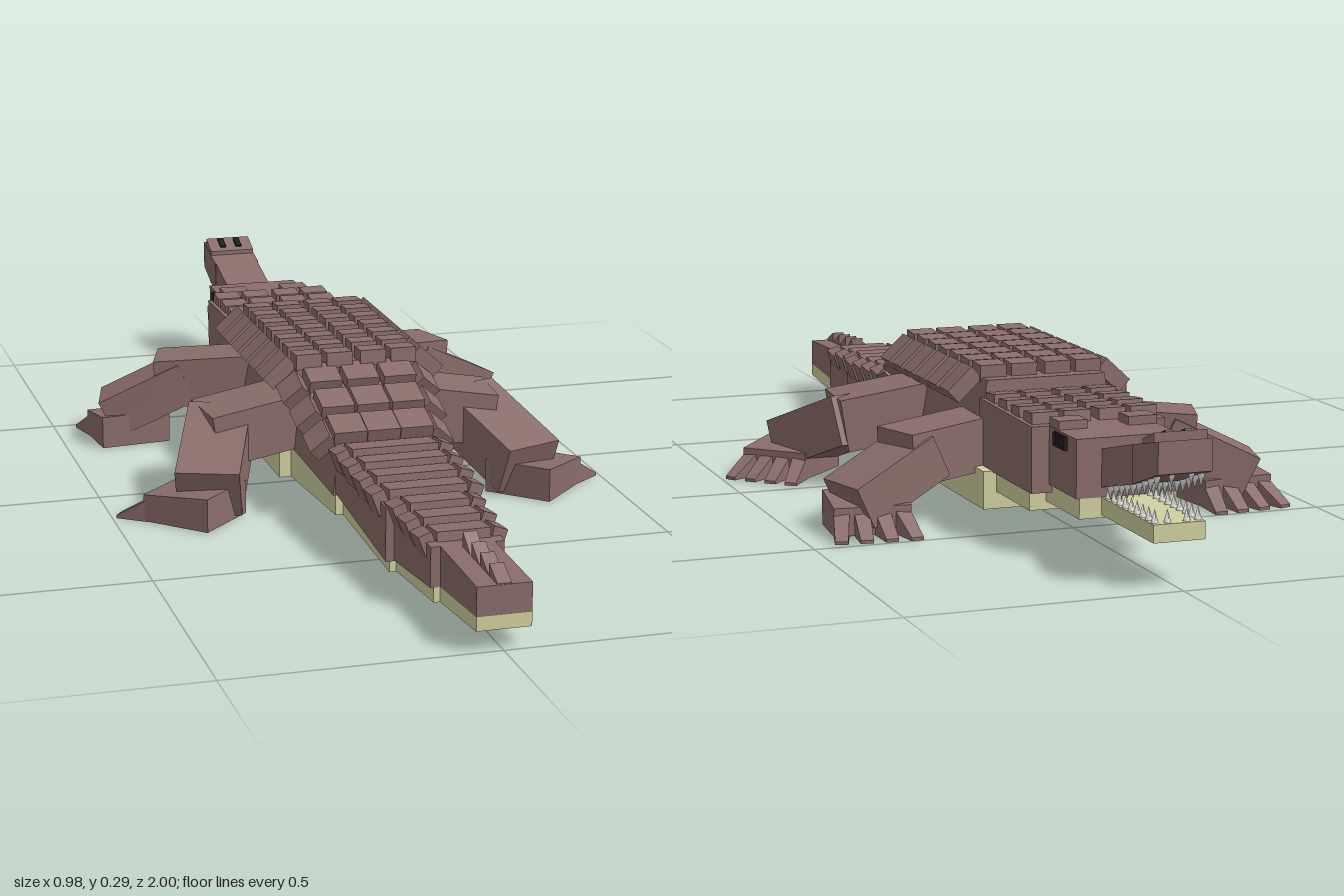
import * as THREE from 'three';

const paint = (name, color) => {
  const m = new THREE.MeshStandardMaterial({ color });
  m.name = name;
  return m;
};

export function createModel() {
  const root = new THREE.Group();
  root.name = 'reptile';
  const hide = paint('hide brown', 0x8a6d6a);
  const cream = paint('belly cream', 0xd2d1a0);
  const black = paint('black', 0x1c1a1a);
  const ivory = paint('tooth ivory', 0xdcdcd8);

  const add = (name, geo, mat, parent = root) => {
    const m = new THREE.Mesh(geo, mat);
    m.name = name;
    parent.add(m);
    return m;
  };
  // Tapered block along z; each end is [halfWidth, bottom, top, topHalfWidth]
  const block = (z0, z1, a, b) => {
    const g = new THREE.BoxGeometry(2, 2, 2);
    const p = g.attributes.position;
    for (let i = 0; i < p.count; i++) {
      const far = p.getZ(i) > 0, up = p.getY(i) > 0, e = far ? b : a;
      p.setXYZ(i, p.getX(i) * (up ? e[3] ?? e[0] : e[0]), e[up ? 2 : 1], far ? z1 : z0);
    }
    g.computeVertexNormals();
    return g;
  };
  const box = (name, w, h, d, x, y, z, rx = 0, rz = 0, mat = hide) => {
    const m = add(name, new THREE.BoxGeometry(w, h, d), mat);
    m.position.set(x, y, z);
    m.rotation.set(rx, 0, rz);
    return m;
  };
  // Box whose length runs from one point to another
  const limb = (name, a, b, w, h) => {
    const A = new THREE.Vector3(...a), B = new THREE.Vector3(...b);
    const m = new THREE.Mesh(new THREE.BoxGeometry(w, h, A.distanceTo(B)), hide);
    m.name = name;
    m.position.copy(A).lerp(B, 0.5);
    m.lookAt(B);
    root.add(m);
  };

  // Main hide, head end first
  [
    ['head', -0.75, -0.6, [0.096, 0.115, 0.222], [0.096, 0.115, 0.222]],
    ['neck', -0.62, -0.35, [0.13, 0.1, 0.222], [0.13, 0.1, 0.228]],
    ['body', -0.36, 0.09, [0.145, 0.1, 0.262, 0.118], [0.145, 0.1, 0.262, 0.118]],
    ['hips', 0.05, 0.3, [0.13, 0.1, 0.25, 0.115], [0.105, 0.065, 0.155, 0.095]],
    ['tailBase', 0.29, 0.6, [0.1, 0.07, 0.155], [0.09, 0.032, 0.135]],
    ['tailMiddle', 0.58, 0.8, [0.075, 0.032, 0.135], [0.068, 0.05, 0.125]],
    ['tailTip', 0.8, 1, [0.05, 0.05, 0.125], [0.05, 0.066, 0.12]],
    ['snout', -0.89, -0.74, [0.048, 0.167, 0.237], [0.048, 0.13, 0.2]],
    ['snoutTip', -1, -0.89, [0.05, 0.205, 0.262], [0.05, 0.167, 0.237]],
  ].forEach(([n, z0, z1, a, b]) => add(n, block(z0, z1, a, b), hide));
  add('noseRidge', block(-0.98, -0.93, [0.049, 0.22, 0.274], [0.049, 0.21, 0.255]), hide);

  // Underside
  [
    ['lowerJaw', -0.98, -0.74, [0.048, 0.083, 0.115], [0.048, 0.083, 0.115]],
    ['throat', -0.75, -0.58, [0.09, 0.078, 0.116], [0.09, 0.078, 0.116]],
    ['chest', -0.59, -0.35, [0.122, 0.062, 0.105], [0.122, 0.062, 0.105]],
    ['belly', -0.42, 0.06, [0.148, 0.03, 0.102], [0.148, 0.03, 0.102]],
    ['hipUnderside', 0.05, 0.3, [0.125, 0.03, 0.102], [0.1, 0.025, 0.07]],
    ['tailBaseUnderside', 0.29, 0.59, [0.085, 0.025, 0.07], [0.08, 0.008, 0.034]],
    ['tailMiddleUnderside', 0.58, 0.8, [0.067, 0.008, 0.034], [0.062, 0.022, 0.052]],
    ['tailTipUnderside', 0.8, 1, [0.05, 0.022, 0.052], [0.05, 0.04, 0.067]],
  ].forEach(([n, z0, z1, a, b]) => add(n, block(z0, z1, a, b), cream));

  // Back scales in four columns
  const columns = [-0.096, -0.034, 0.034, 0.096];
  for (let r = 0; r < 7; r++) {
    for (const x of columns) box('backScale', 0.052, 0.03, 0.046, x, 0.272, -0.31 + r * 0.064, -0.06);
  }
  for (let r = 0; r < 4; r++) {
    for (const x of columns) box('neckScale', 0.052, 0.026, 0.043, x, 0.229, -0.58 + r * 0.064, 0.08);
  }
  for (const x of [-0.067, 0.067]) box('browScale', 0.055, 0.026, 0.046, x, 0.225, -0.64);

  // Sloping hip scales, then broad tail bands
  for (let r = 0; r < 3; r++) {
    for (const x of [-0.075, 0, 0.075]) {
      box('hipScale', 0.065, 0.024, 0.066, x - x * r * 0.06, 0.245 - r * 0.031, 0.112 + r * 0.072, 0.3);
    }
  }
  for (let r = 0; r < 7; r++) {
    const z = 0.335 + r * 0.069, w = r < 4 ? 0.084 - r * 0.003 : 0.056 - (r - 4) * 0.003;
    const y = 0.158 - r * 0.005;
    box('tailBand', w * 2, 0.026, 0.06, 0, y, z, -0.1);
    for (const s of [1, -1]) {
      box('tailSideScale', 0.026, 0.045, 0.055, s * (w + 0.013), y - 0.012, z, -0.1, -s * 0.35);
    }
  }

  // Crest spikes on the tail tip
  for (let i = 0; i < 4; i++) {
    add('tailSpike', block(0.81 + i * 0.048, 0.855 + i * 0.048,
      [0.013, 0.115, 0.152 - i * 0.003], [0.013, 0.115, 0.122]), hide);
  }

  for (const s of [1, -1]) {
    const side = s > 0 ? 'left' : 'right';
    // Angled scales along both flanks
    for (let i = 0; i < 6; i++) {
      box(side + 'FlankScale', 0.065, 0.032, 0.054, s * 0.15, 0.25, -0.3 + i * 0.07, 0, -s * 0.75);
    }
    for (let i = 0; i < 3; i++) {
      box(side + 'HipFlankScale', 0.05, 0.028, 0.06, s * (0.132 - i * 0.008), 0.222 - i * 0.03,
        0.11 + i * 0.07, 0.3, -s * 0.75);
    }

    // Eye and nostril plates
    box(side + 'Eye', 0.009, 0.025, 0.055, s * 0.098, 0.206, -0.68, 0, 0, black);
    box(side + 'Nostril', 0.013, 0.006, 0.03, s * 0.018, 0.267, -0.957, 0.38, 0, black);

    // Limbs
    limb(side + 'Shoulder', [s * 0.1, 0.145, -0.3], [s * 0.3, 0.13, -0.365], 0.11, 0.1);
    limb(side + 'Forearm', [s * 0.24, 0.135, -0.35], [s * 0.4, 0.055, -0.39], 0.12, 0.085);
    limb(side + 'Thigh', [s * 0.1, 0.155, 0.02], [s * 0.29, 0.125, 0.035], 0.14, 0.105);
    limb(side + 'Shin', [s * 0.25, 0.135, 0.0], [s * 0.325, 0.055, 0.2], 0.125, 0.1);

    // Feet with four wedge toes, pointing along local -z
    const foot = (name, x, z, w, l, turn) => {
      const f = new THREE.Group();
      f.name = name;
      f.position.set(s * x, 0, z);
      f.rotation.y = -s * turn;
      root.add(f);
      add('sole', block(-l / 2, l / 2, [w / 2, 0.002, 0.055], [w / 2, 0.002, 0.068]), hide, f);
      for (let i = 0; i < 4; i++) {
        const t = (i - 1.5) / 1.5;
        const toe = add('toe', block(-0.06, 0.01, [0.012, 0.001, 0.007], [0.015, 0.001, 0.048]), hide, f);
        toe.position.set(t * (w / 2 - 0.014), 0, -l / 2);
        toe.rotation.y = -t * 0.2;
      }
    };
    foot(side + 'FrontFoot', 0.362, -0.377, 0.145, 0.11, 0.1);
    foot(side + 'HindFoot', 0.345, 0.17, 0.14, 0.145, 0.78);

    // Teeth along both jaws
    for (let i = 0; i < 9; i++) {
      const z = -0.775 - i * 0.025, lip = z > -0.89 ? 0.13 - (z + 0.74) * 0.247 : 0.167 - (z + 0.89) * 0.345;
      const up = add(side + 'UpperTooth', new THREE.ConeGeometry(0.008, 0.028, 4), ivory);
      up.position.set(s * 0.041, lip - 0.011, z);
      up.rotation.x = Math.PI;
      const low = add(side + 'LowerTooth', new THREE.ConeGeometry(0.008, 0.026, 4), ivory);
      low.position.set(s * 0.04, 0.126, z + 0.01);
    }
  }
  // Front teeth
  for (const x of [-0.018, 0.018]) {
    const up = add('upperFrontTooth', new THREE.ConeGeometry(0.008, 0.028, 4), ivory);
    up.position.set(x, 0.192, -0.985);
    up.rotation.x = Math.PI;
    add('lowerFrontTooth', new THREE.ConeGeometry(0.008, 0.026, 4), ivory).position.set(x, 0.126, -0.968);
  }
  return root;
}
